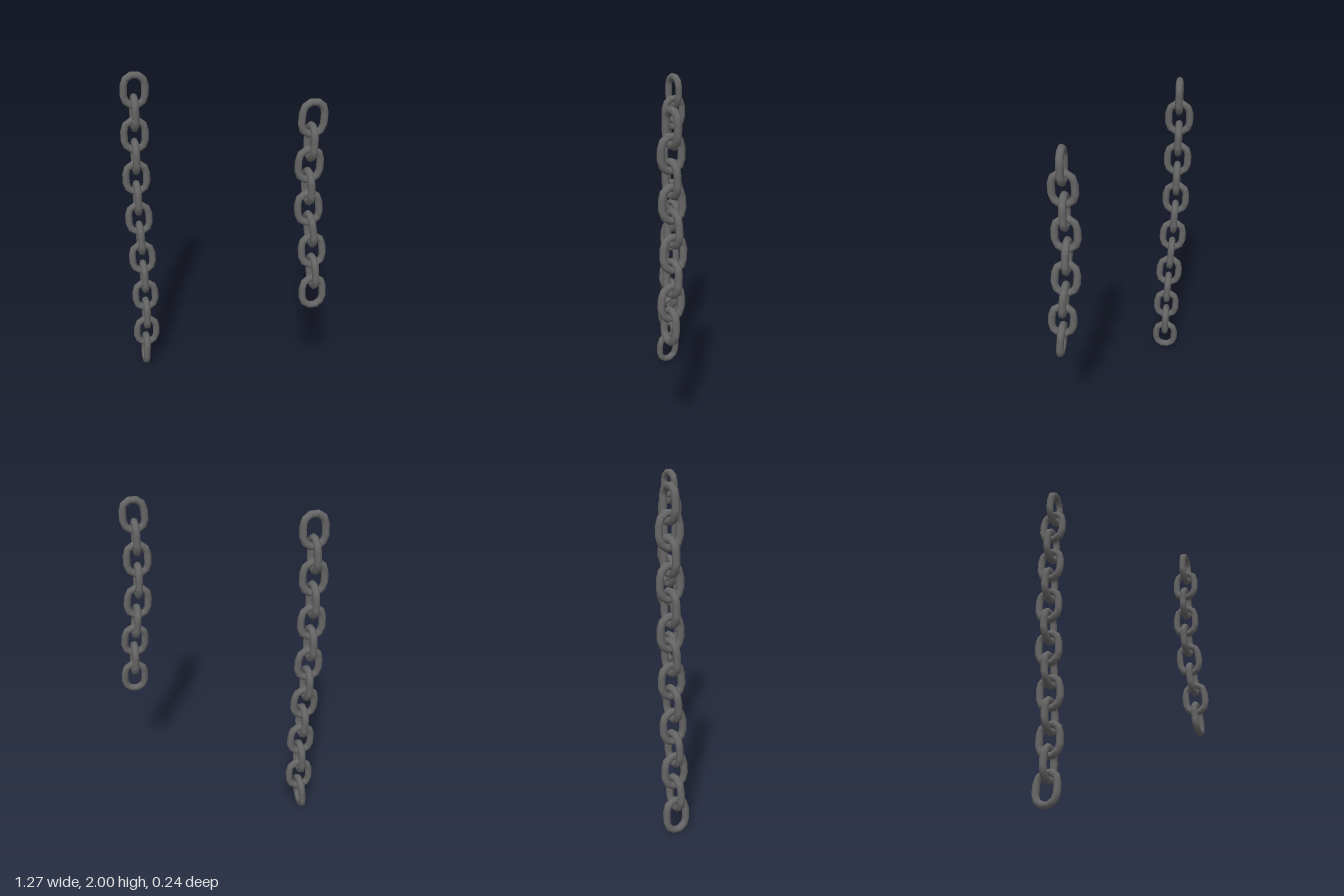
import * as THREE from 'three';

const RING = 0.0625, WIRE = 0.0218, STRETCH = 0.03, YAW = THREE.MathUtils.degToRad(34);

// One link: a torus cut in two, its halves moved apart to leave straight sides
function linkGeometry() {
  const steps = 12, geo = new THREE.TorusGeometry(RING, WIRE, 8, steps);
  const axis = new THREE.Vector3(0, 0, 1), v = new THREE.Vector3();
  const { position, normal } = geo.attributes;
  for (let k = 0; k < position.count; k++) {
    const i = (k % (steps + 1)) % steps;
    const upper = i < 6;
    const turn = (upper ? i : i - 1) * Math.PI / 5 - i * Math.PI / 6;
    v.fromBufferAttribute(position, k).applyAxisAngle(axis, turn);
    position.setXYZ(k, v.x, v.y + (upper ? STRETCH : -STRETCH), v.z);
    v.fromBufferAttribute(normal, k).applyAxisAngle(axis, turn);
    normal.setXYZ(k, v.x, v.y, v.z);
  }
  return geo;
}

// Hangs links along a gently bent line, every second one turned by 90 degrees
function chain(name, top, bottom, xs, zs, geo, material) {
  const group = new THREE.Group();
  group.name = name;
  const n = xs.length;
  const points = xs.map((x, i) =>
    new THREE.Vector3(x, THREE.MathUtils.lerp(top, bottom, i / (n - 1)), zs[i]));
  const up = new THREE.Vector3(0, 1, 0);
  points.forEach((p, i) => {
    const link = new THREE.Mesh(geo, material);
    link.name = 'chainLink' + (i + 1);
    const along = points[Math.max(i - 1, 0)].clone().sub(points[Math.min(i + 1, n - 1)]).normalize();
    const yaw = new THREE.Quaternion().setFromAxisAngle(up, i % 2 ? YAW - Math.PI / 2 : YAW);
    link.quaternion.setFromUnitVectors(up, along).multiply(yaw);
    link.position.copy(p);
    group.add(link);
  });
  return group;
}

export function createModel() {
  const model = new THREE.Group();
  model.name = 'hangingChains';
  const geo = linkGeometry();
  const iron = new THREE.MeshStandardMaterial({ color: 0x666666 });
  // Long chain on the model's right
  model.add(chain('longChain', 1.889, 0.111,
    [-0.548, -0.555, -0.559, -0.561, -0.562, -0.562, -0.558, -0.553, -0.545, -0.538, -0.534, -0.532, -0.534, -0.543],
    [0.012, 0.013, 0.015, 0.017, 0.018, 0.019, 0.021, 0.024, 0.028, 0.032, 0.036, 0.04, 0.044, 0.05],
    geo, iron));
  // Short chain on the model's left
  model.add(chain('shortChain', 1.846, 0.763,
    [0.503, 0.498, 0.495, 0.495, 0.501, 0.518, 0.536, 0.549, 0.557],
    [-0.036, -0.033, -0.034, -0.038, -0.044, -0.046, -0.043, -0.037, -0.031],
    geo, iron));
  return model;
}
